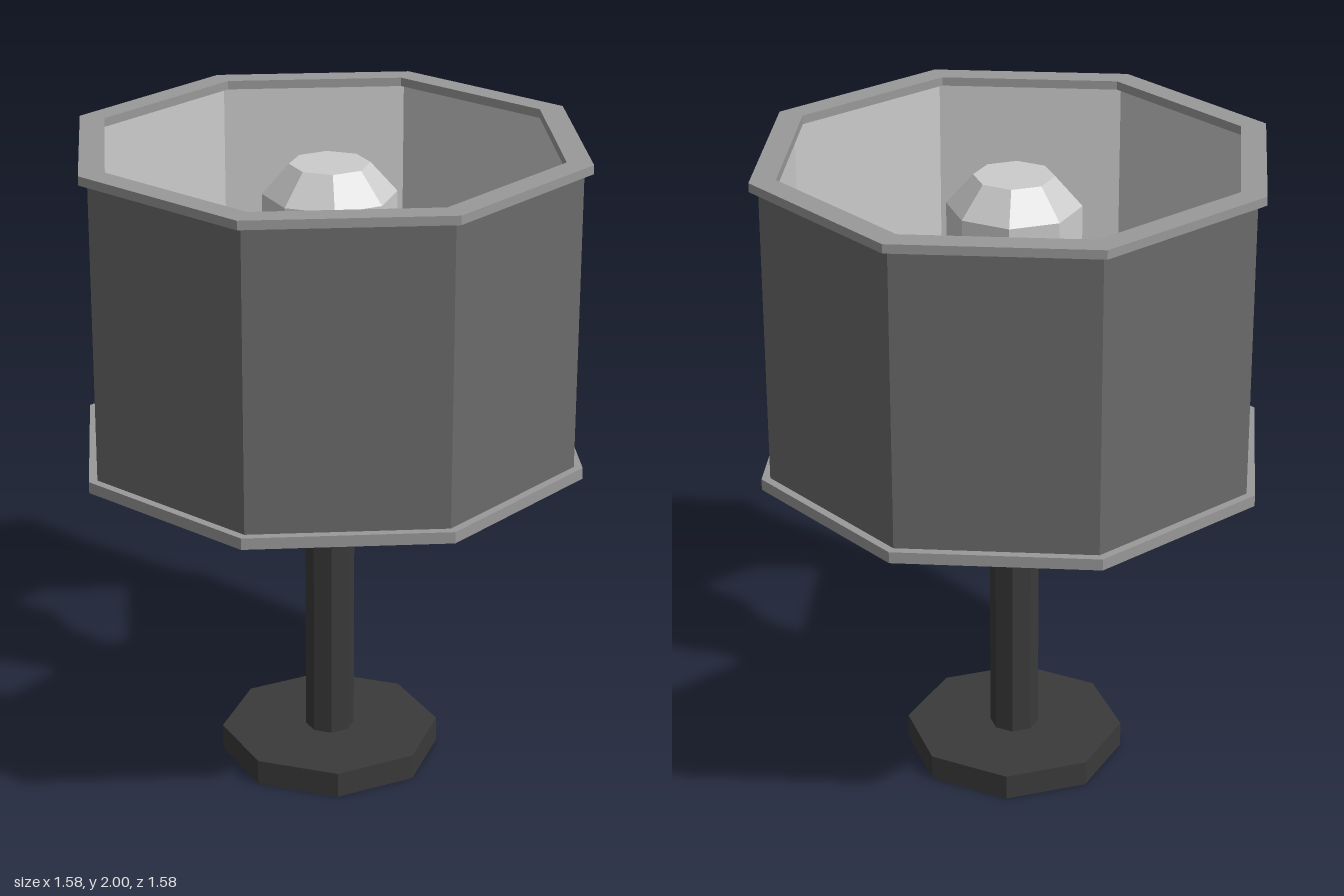
import * as THREE from 'three';

const SIDES = 8;
const TURN = Math.PI / SIDES; // turns an octagon so its flats face the axes

const paint = (color, side = THREE.FrontSide) =>
  new THREE.MeshStandardMaterial({ color, side, flatShading: true });

export function createModel() {
  const group = new THREE.Group();
  const dark = paint(0x3a3a3a);
  const trim = paint(0x999999);
  const cloth = paint(0x6a6a6a);
  const lining = paint(0xcccccc, THREE.BackSide);
  const glass = paint(0xcccccc);

  const add = (name, geometry, material, y = 0, turn = 0) => {
    const mesh = new THREE.Mesh(geometry, material);
    mesh.name = name;
    mesh.position.y = y;
    mesh.rotation.y = turn;
    group.add(mesh);
    return mesh;
  };
  // Octagonal prism between two heights
  const prism = (name, r, y0, y1, material, turn = TURN, open = false) =>
    add(name, new THREE.CylinderGeometry(r, r, y1 - y0, SIDES, 1, open), material, (y0 + y1) / 2, turn);
  // Octagonal solid from a [radius, height] profile, listed bottom to top on the outside
  const turned = (name, profile, material, turn = 0) =>
    add(name, new THREE.LatheGeometry(profile.map(p => new THREE.Vector2(...p)), SIDES), material, 0, turn);

  // Stand
  prism('base', 0.34, 0, 0.08, dark);
  prism('post', 0.076, 0.08, 1.1, dark);
  prism('hub', 0.16, 1.05, 1.17, dark);
  prism('socket', 0.1, 1.17, 1.27, dark);

  // Bar that carries the shade
  add('supportBar', new THREE.BoxGeometry(1.36, 0.1, 0.12), dark, 1.11);

  // Bulb
  turned('bulb', [
    [0, 1.25], [0.1, 1.25], [0.135, 1.32], [0.14, 1.45],
    [0.2, 1.6], [0.2, 1.84], [0.12, 1.93], [0, 1.93],
  ], glass, TURN);

  // Shade walls, corners on the axes
  prism('shadeOuter', 0.763, 1.05, 1.985, cloth, 0, true);
  prism('shadeLining', 0.74, 1.05, 1.985, lining, 0, true);

  // Trim rings at the two rims
  for (const [name, y0, y1] of [['bottomRing', 1.03, 1.065], ['topRing', 1.973, 2]]) {
    turned(name, [[0.71, y0], [0.79, y0], [0.79, y1], [0.71, y1], [0.71, y0]], trim);
  }

  return group;
}
